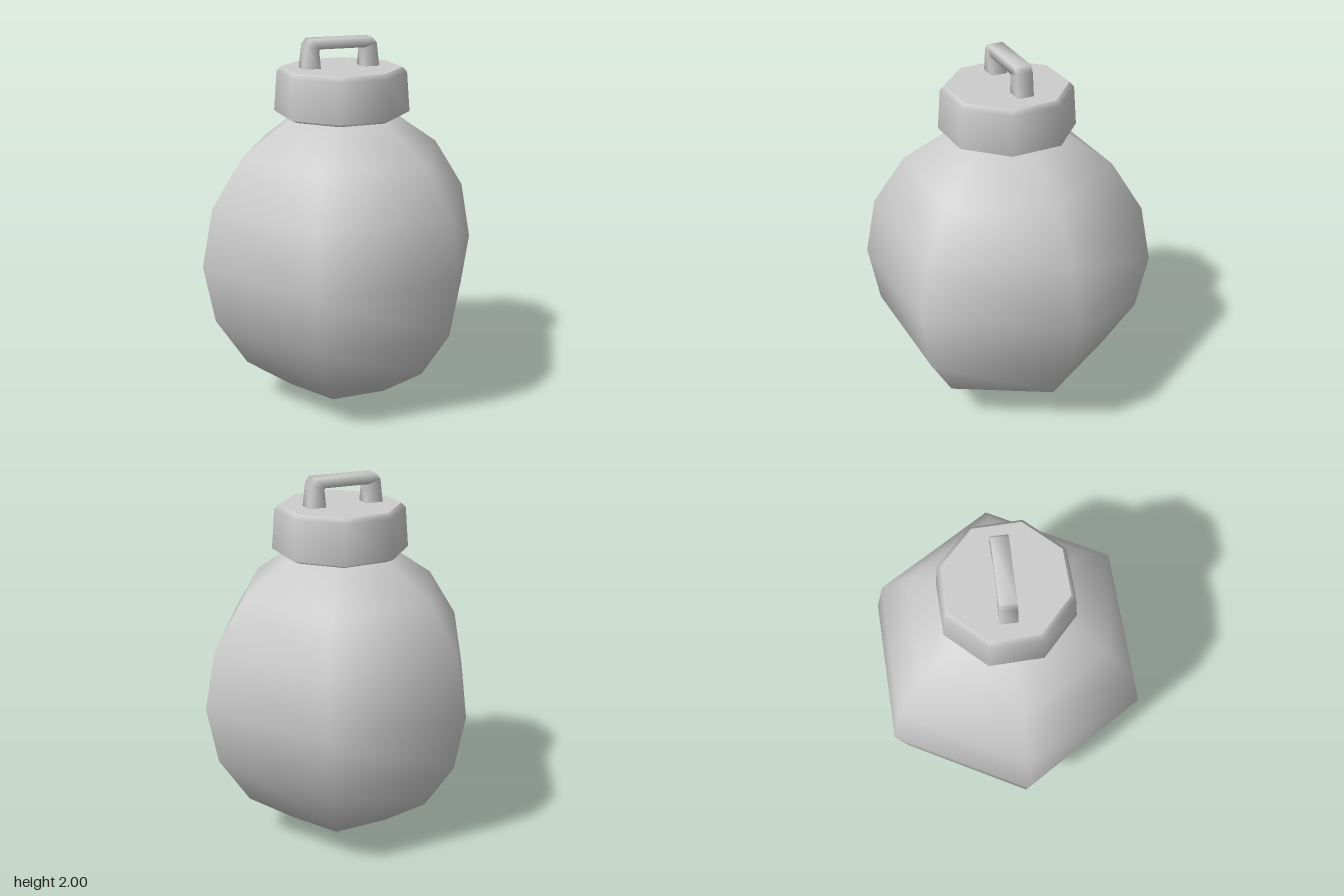
import * as THREE from 'three';

const grey = new THREE.MeshStandardMaterial({ color: 0xcccccc });
grey.name = 'plain grey';

function part(name, geometry) {
  const mesh = new THREE.Mesh(geometry, grey);
  mesh.name = name;
  return mesh;
}

// Four-sided bent bar: each station pairs an outer and an inner [x, y] point
function bentBar(stations, halfDepth) {
  const pos = [], index = [];
  for (const [ox, oy, ix, iy] of stations) {
    pos.push(ox, oy, halfDepth, ox, oy, -halfDepth, ix, iy, -halfDepth, ix, iy, halfDepth);
  }
  for (let i = 0; i < stations.length - 1; i++) {
    for (let k = 0; k < 4; k++) {
      const a = i * 4 + k, b = i * 4 + (k + 1) % 4;
      index.push(a, a + 4, b + 4, a, b + 4, b);
    }
  }
  const g = new THREE.BufferGeometry();
  g.setAttribute('position', new THREE.Float32BufferAttribute(pos, 3));
  g.setIndex(index);
  g.computeVertexNormals();
  return g;
}

export function createModel() {
  const model = new THREE.Group();
  model.name = 'ornament';

  // Six-sided, smooth-shaded ball, slightly taller than wide
  const ball = new THREE.SphereGeometry(0.785, 6, 8);
  ball.scale(1, 0.82 / 0.785, 1);
  ball.translate(0, 0.822, 0);
  model.add(part('ball', ball));

  // Octagonal collar, open underneath; radii are given to the flat sides
  const toCorner = 1 / Math.cos(Math.PI / 8);
  const profile = [[0.295, 1.59], [0.333, 1.61], [0.318, 1.82], [0.296, 1.845]]
    .map(([r, y]) => new THREE.Vector2(r * toCorner, y));
  model.add(part('collar', new THREE.LatheGeometry(profile, 8, Math.PI / 8)));

  // Flat top of the collar
  const lid = new THREE.CircleGeometry(0.296 * toCorner, 8, Math.PI / 8);
  lid.rotateX(-Math.PI / 2);
  lid.translate(0, 1.845, 0);
  model.add(part('collarTop', lid));

  // Hanging loop with bevelled corners, turned a little
  const half = [
    [0.21, 1.835, 0.113, 1.835],
    [0.194, 1.967, 0.123, 1.941],
    [0.17, 1.998, 0.118, 1.946],
  ];
  const stations = [
    ...half.map(([ox, oy, ix, iy]) => [-ox, oy, -ix, iy]),
    ...half.slice().reverse(),
  ];
  const loop = part('hangingLoop', bentBar(stations, 0.044));
  loop.position.set(-0.01, 0, -0.012);
  loop.rotation.y = -0.037;
  model.add(loop);

  return model;
}
